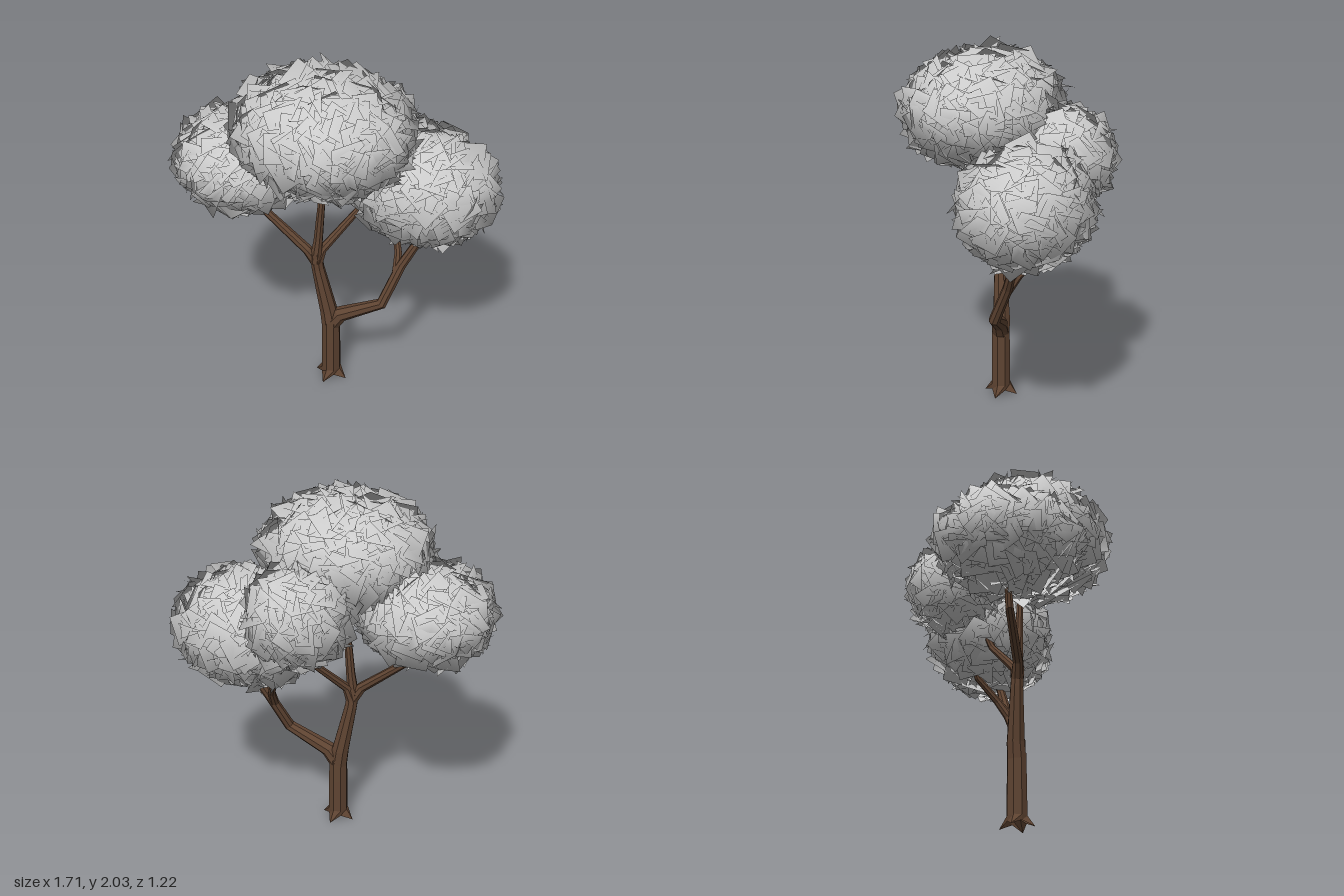
import * as THREE from 'three';
import { mergeGeometries } from 'three/addons/utils/BufferGeometryUtils.js';

const SIDES = 8;
const Y = new THREE.Vector3(0, 1, 0);
const Z = new THREE.Vector3(0, 0, 1);

function seeded(seed) {
  let s = seed;
  return () => (s = (s * 16807) % 2147483647) / 2147483647;
}

// Tapered, faceted limb through points [x, y, z, radius]
function limb(points) {
  const p = points.map(a => new THREE.Vector3(a[0], a[1], a[2]));
  const pos = [], idx = [];
  p.forEach((c, i) => {
    const t = new THREE.Vector3();
    if (i > 0) t.add(c.clone().sub(p[i - 1]).normalize());
    if (i < p.length - 1) t.add(p[i + 1].clone().sub(c).normalize());
    t.normalize();
    const u = t.clone().cross(Z).normalize();
    const v = u.clone().cross(t);
    for (let k = 0; k < SIDES; k++) {
      const a = (k / SIDES) * Math.PI * 2, r = points[i][3];
      const q = c.clone().addScaledVector(u, r * Math.cos(a)).addScaledVector(v, -r * Math.sin(a));
      pos.push(q.x, q.y, q.z);
    }
  });
  for (let i = 0; i < p.length - 1; i++) {
    for (let k = 0; k < SIDES; k++) {
      const a = i * SIDES + k, b = i * SIDES + (k + 1) % SIDES;
      idx.push(a, a + SIDES, b, b, a + SIDES, b + SIDES);
    }
  }
  const g = new THREE.BufferGeometry();
  g.setAttribute('position', new THREE.Float32BufferAttribute(pos, 3));
  g.setIndex(idx);
  g.computeVertexNormals();
  return g;
}

// Trunk whose lowest ring spreads into four diagonal root points
function trunkGeometry() {
  const g = new THREE.CylinderGeometry(0.053, 0.058, 0.4, SIDES, 3, true);
  g.translate(0, 0.2, 0);
  const pos = g.attributes.position;
  for (let i = 0; i < pos.count; i++) {
    const k = i % (SIDES + 1), row = Math.floor(i / (SIDES + 1));
    const root = k % 2 === 1;
    if (row === 2) pos.setY(i, 0.06);
    if (row === 3) {
      const f = root ? 1.68 : 0.95;
      pos.setXYZ(i, pos.getX(i) * f, root ? 0 : 0.03, pos.getZ(i) * f);
    }
  }
  g.translate(-0.05, 0, 0.06);
  return g;
}

// Shell of ragged, overlapping leaf cards on an ellipsoid, shaded as one round mass
function foliage(center, radii, yaw, count, seed) {
  const rnd = seeded(seed);
  const r = new THREE.Vector3(...radii).subScalar(0.06);
  const cards = [];
  for (let i = 0; i < count; i++) {
    const y = 1 - (2 * i + 1) / count;
    const ring = Math.sqrt(1 - y * y), a = i * 2.399963;
    const dir = new THREE.Vector3(ring * Math.cos(a), y, ring * Math.sin(a));
    const normal = dir.clone().divide(r).normalize();
    const tilt = new THREE.Euler((rnd() - 0.5) * 1.5, (rnd() - 0.5) * 1.5, rnd() * Math.PI * 2);
    const q = new THREE.Quaternion().setFromUnitVectors(Z, normal)
      .multiply(new THREE.Quaternion().setFromEuler(tilt));
    const size = 0.12 + rnd() * 0.05;
    const at = dir.multiply(r).multiplyScalar(0.93 + rnd() * 0.1);
    const card = new THREE.PlaneGeometry(size, size);
    card.applyMatrix4(new THREE.Matrix4().compose(at, q, new THREE.Vector3(1, 1, 1)));
    cards.push(card);
  }
  const g = mergeGeometries(cards);
  const pos = g.attributes.position, n = new THREE.Vector3();
  for (let i = 0; i < pos.count; i++) {
    n.fromBufferAttribute(pos, i).divide(r).divide(r).normalize();
    g.attributes.normal.setXYZ(i, n.x, n.y, n.z);
  }
  g.applyQuaternion(new THREE.Quaternion().setFromAxisAngle(Y, yaw));
  return g.translate(...center);
}

export function createModel() {
  const tree = new THREE.Group();
  tree.name = 'tree';
  const bark = new THREE.MeshStandardMaterial({ color: 0x5f4432, flatShading: true, side: THREE.DoubleSide });
  const leaf = new THREE.MeshStandardMaterial({ color: 0xcccccc, side: THREE.DoubleSide });
  const add = (name, geometry, material) => {
    const mesh = new THREE.Mesh(geometry, material);
    mesh.name = name;
    tree.add(mesh);
  };

  // Trunk and branches
  add('trunk', trunkGeometry(), bark);
  const limbs = {
    mainStem: [[-0.05, 0.36, 0.06, 0.053], [-0.06, 0.46, 0.05, 0.05], [-0.115, 0.75, 0.03, 0.036], [-0.13, 0.86, 0.03, 0.034]],
    rightBranch: [[-0.12, 0.79, 0.03, 0.035], [-0.17, 0.87, 0.01, 0.029], [-0.37, 1.07, -0.14, 0.023], [-0.42, 1.3, -0.18, 0.014]],
    topBranch: [[-0.13, 0.8, 0.03, 0.034], [-0.115, 0.95, 0.04, 0.026], [-0.09, 1.35, 0.07, 0.017], [-0.09, 1.55, 0.1, 0.01]],
    innerBranch: [[-0.12, 0.79, 0.03, 0.035], [-0.09, 0.87, 0.03, 0.026], [0.12, 1.07, 0.0, 0.02], [0.2, 1.3, -0.06, 0.012]],
    leftBranch: [[-0.05, 0.37, 0.06, 0.05], [0.0, 0.45, 0.09, 0.045], [0.2, 0.57, 0.21, 0.032],
      [0.315, 0.79, 0.185, 0.028], [0.44, 1.0, 0.2, 0.022], [0.46, 1.2, 0.18, 0.012]],
    backBranch: [[0.29, 0.75, 0.185, 0.026], [0.315, 0.84, 0.13, 0.022], [0.33, 0.97, 0.01, 0.019], [0.27, 1.35, -0.14, 0.012]],
  };
  for (const [name, points] of Object.entries(limbs)) add(name, limb(points), bark);

  // Leaf crowns
  const diagonal = -Math.PI / 4;
  add('topCrown', foliage([-0.11, 1.66, 0.12], [0.5, 0.34, 0.45], diagonal, 700, 11), leaf);
  add('rightCrown', foliage([-0.46, 1.39, -0.19], [0.385, 0.285, 0.405], 0, 520, 23), leaf);
  add('leftCrown', foliage([0.43, 1.27, 0.13], [0.44, 0.34, 0.365], diagonal, 540, 37), leaf);
  add('backCrown', foliage([0.23, 1.44, -0.17], [0.31, 0.29, 0.3], 0, 380, 51), leaf);
  return tree;
}
